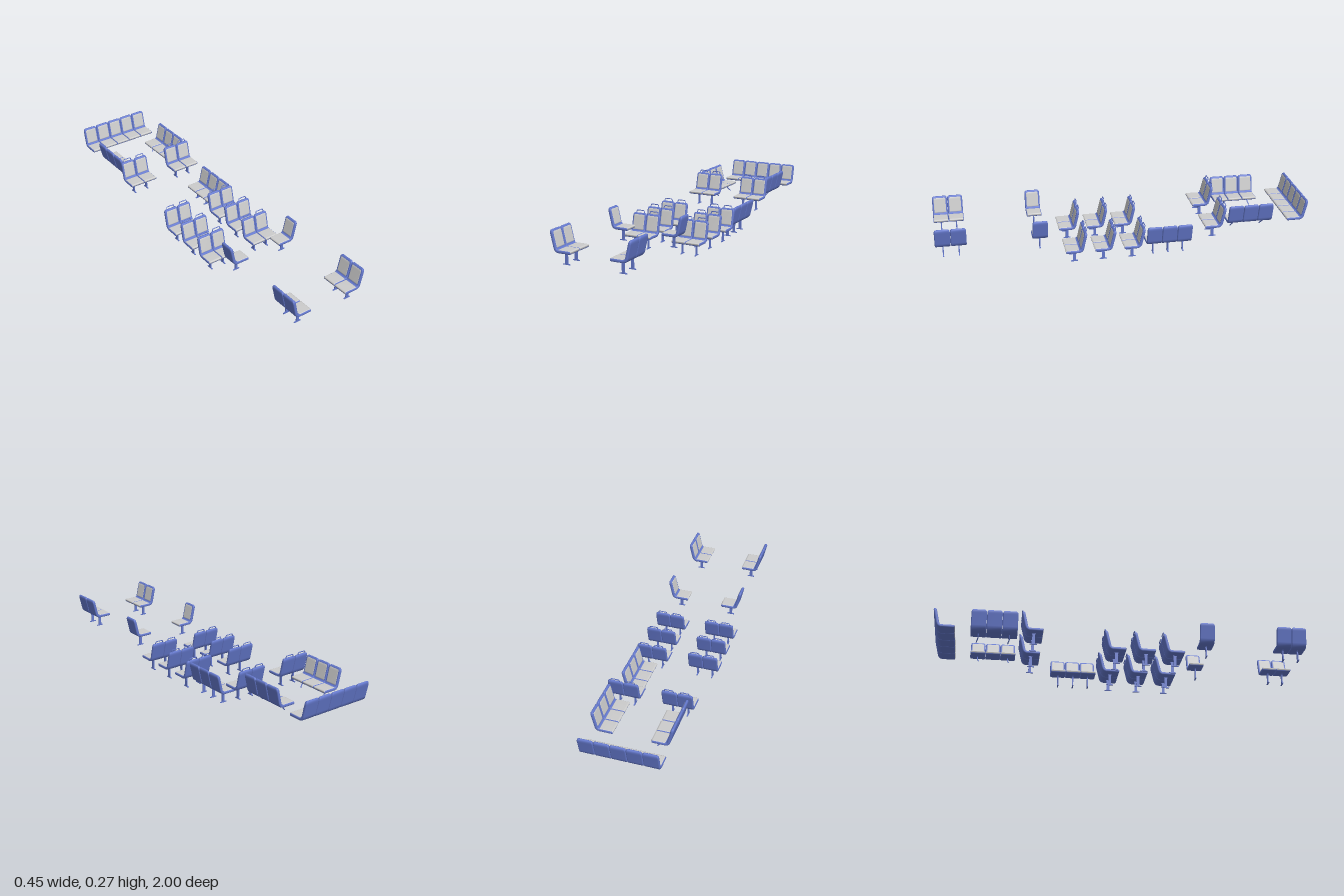
import * as THREE from 'three';

const blue = new THREE.MeshStandardMaterial({ color: 0x6478cc });
const grey = new THREE.MeshStandardMaterial({ color: 0xcccccc });
const PITCH = 0.082, RAISED = 0.083;

// Lofts rounded rectangles along a side path; each station is [z, y, halfWidth, halfThickness].
function loft(stations) {
  const pos = [], idx = [], N = 16;
  stations.forEach(([z, y, w, t], i) => {
    const p = stations[Math.max(i - 1, 0)], q = stations[Math.min(i + 1, stations.length - 1)];
    const n = new THREE.Vector2(q[1] - p[1], p[0] - q[0]).normalize();
    const r = t * 0.7;
    for (let j = 0; j < N; j++) {
      const corner = Math.floor(j / 4), a = (corner + (j % 4) / 3) * Math.PI / 2;
      const sx = corner === 0 || corner === 3 ? 1 : -1, sn = corner < 2 ? 1 : -1;
      const u = sx * (w - r) + r * Math.cos(a), v = sn * (t - r) + r * Math.sin(a);
      pos.push(u, y + n.y * v, z + n.x * v);
    }
  });
  const last = (stations.length - 1) * N;
  for (let i = 0; i < last; i += N) {
    for (let j = 0; j < N; j++) {
      const k = (j + 1) % N;
      idx.push(i + j, i + N + j, i + k, i + k, i + N + j, i + N + k);
    }
  }
  for (let j = 1; j < N - 1; j++) idx.push(0, j, j + 1, last, last + j + 1, last + j);
  const g = new THREE.BufferGeometry();
  g.setAttribute('position', new THREE.Float32BufferAttribute(pos, 3));
  g.setIndex(idx);
  g.computeVertexNormals();
  return g;
}

// Seat shell: from the front nose, round the bend, up to the rounded top
const W = 0.0405;
const shellGeo = loft([
  [0.115, 0.071, 0.039, 0.003], [0.1138, 0.071, W, 0.006], [0.110, 0.071, W, 0.008],
  [0.108, 0.071, W, 0.008], [0.048, 0.071, W, 0.008], [0.045, 0.0711, W, 0.008],
  [0.037, 0.0735, W, 0.008], [0.0305, 0.079, W, 0.008], [0.027, 0.088, W, 0.008],
  [0.0262, 0.0915, W, 0.008], [0.0112, 0.155, W, 0.008], [0.0105, 0.158, W, 0.008],
  [0.009, 0.165, 0.0393, 0.0078], [0.0078, 0.170, 0.0365, 0.006], [0.0072, 0.1735, 0.032, 0.003],
]);
const seatPadGeo = loft([
  [0.1163, 0.0725, 0.037, 0.003], [0.1153, 0.0728, 0.038, 0.005], [0.111, 0.0733, 0.0385, 0.007],
  [0.109, 0.0733, 0.0385, 0.007], [0.048, 0.0733, 0.0385, 0.007], [0.045, 0.0733, 0.038, 0.006],
  [0.044, 0.0733, 0.037, 0.003],
]);
const backPadGeo = loft([
  [0.0300, 0.084, 0.032, 0.003], [0.0296, 0.086, 0.0335, 0.006], [0.0288, 0.089, 0.034, 0.0072],
  [0.0281, 0.092, 0.034, 0.0072], [0.0138, 0.153, 0.034, 0.0072], [0.0129, 0.157, 0.034, 0.0072],
  [0.0115, 0.163, 0.0325, 0.0068], [0.0107, 0.1665, 0.030, 0.005], [0.0103, 0.168, 0.027, 0.003],
]);

// Grab handle above the backrest
const handlePath = new THREE.CurvePath();
const hp = [[-0.025, 0.170], [-0.0225, 0.181], [-0.017, 0.1865], [0.017, 0.1865], [0.0225, 0.181], [0.025, 0.170]]
  .map(([x, y]) => new THREE.Vector3(x, y, 0.0075 - (y - 0.17) * 0.236));
const corner = (a, b, c) => new THREE.QuadraticBezierCurve3(a, b, c);
const peakL = new THREE.Vector3(-0.0215, 0.1865, hp[2].z), peakR = new THREE.Vector3(0.0215, 0.1865, hp[3].z);
handlePath.curves.push(
  new THREE.LineCurve3(hp[0], hp[1]), corner(hp[1], peakL, hp[2]), new THREE.LineCurve3(hp[2], hp[3]),
  corner(hp[3], peakR, hp[4]), new THREE.LineCurve3(hp[4], hp[5]));
const handleGeo = new THREE.TubeGeometry(handlePath, 28, 0.0025, 6);

// Flat pedestal leg with flared foot and top
const LEG_Z = 0.067;
const legShape = new THREE.Shape();
legShape.moveTo(-0.019, 0);
legShape.lineTo(0.019, 0);
legShape.lineTo(0.019, 0.004);
legShape.quadraticCurveTo(0.0075, 0.004, 0.0075, 0.009);
legShape.lineTo(0.0075, 0.056);
legShape.lineTo(0.013, 0.066);
legShape.lineTo(-0.013, 0.066);
legShape.lineTo(-0.0075, 0.056);
legShape.lineTo(-0.0075, 0.009);
legShape.quadraticCurveTo(-0.0075, 0.004, -0.019, 0.004);
const legGeo = new THREE.ExtrudeGeometry(legShape, { depth: 0.006, bevelEnabled: false, curveSegments: 4 });
legGeo.translate(0, 0, -0.003).rotateY(-Math.PI / 2).translate(0, 0, LEG_Z);

// Short slanted strut for the seats above the wheel arches
const strutGeo = new THREE.TubeGeometry(new THREE.CatmullRomCurve3([
  new THREE.Vector3(0, 0.066, LEG_Z), new THREE.Vector3(0, 0.046, LEG_Z + 0.008),
  new THREE.Vector3(0.008, 0.024, LEG_Z + 0.028),
]), 8, 0.003, 6);

function part(group, name, geo, mat, x) {
  const m = new THREE.Mesh(geo, mat);
  m.name = name;
  m.position.x = x;
  group.add(m);
}

// A row of joined seats; its origin is the floor point behind the backrests
function seatRow(name, count, [x, y, z], turn, { handles = false, support = 'leg' } = {}) {
  const row = new THREE.Group();
  row.name = name;
  for (let i = 0; i < count; i++) {
    const sx = (i - (count - 1) / 2) * PITCH;
    part(row, 'seatShell', shellGeo, blue, sx);
    part(row, 'seatCushion', seatPadGeo, grey, sx);
    part(row, 'backCushion', backPadGeo, grey, sx);
    if (handles) part(row, 'grabHandle', handleGeo, blue, sx);
    if (support === 'leg') part(row, 'leg', legGeo, blue, sx);
    if (support === 'strut' && (i === 0 || i === count - 1)) part(row, 'strut', strutGeo, blue, sx);
  }
  row.position.set(x, y, z);
  row.rotation.y = turn;
  return row;
}

export function createModel() {
  const model = new THREE.Group();
  model.name = 'busSeats';
  for (const s of [-1, 1]) {
    const inward = -s * Math.PI / 2;
    // Forward-facing pairs
    for (const z of [0.21, 0.055, -0.102]) {
      model.add(seatRow('forwardPair', 2, [s * 0.143, 0, z], 0, { handles: true }));
    }
    model.add(seatRow('raisedForwardPair', 2, [s * 0.143, RAISED, -0.54], 0, { handles: true }));
    // Seats along the walls, facing the aisle
    model.add(seatRow('frontSidePair', 2, [s * 0.224, RAISED, 0.917], inward));
    model.add(seatRow('singleSideSeat', 1, [s * 0.215, RAISED, 0.455], inward));
    model.add(seatRow('rearSideTriple', 3, [s * 0.215, RAISED, -0.68], inward, { support: 'strut' }));
  }
  model.add(seatRow('middleSideTriple', 3, [0.222, 0, -0.235], -Math.PI / 2));
  // Five-seat bench across the back
  model.add(seatRow('rearBench', 5, [0, RAISED, -1], 0, { support: 'none' }));
  return model;
}
